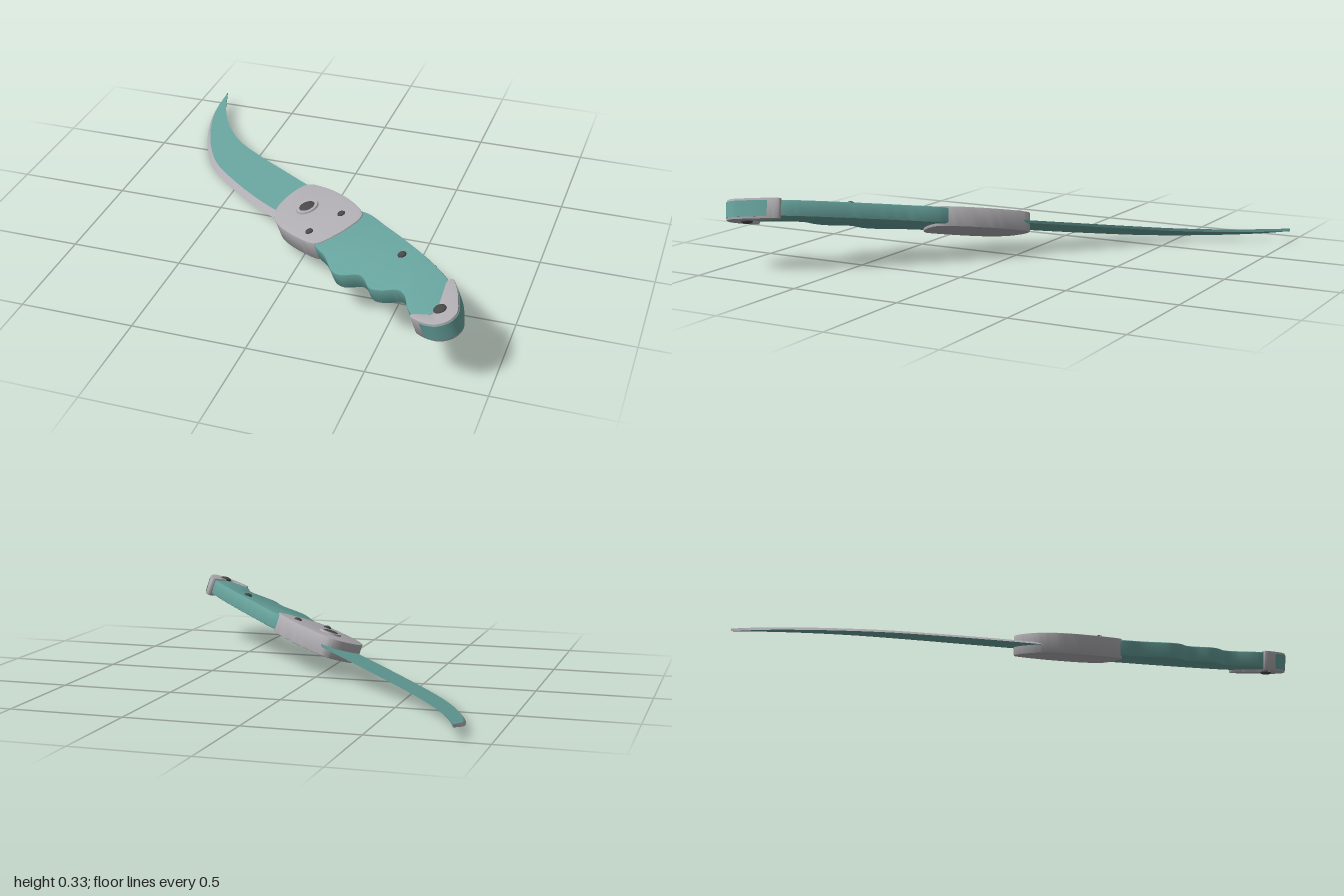
import * as THREE from 'three';
import { toCreasedNormals } from 'three/addons/utils/BufferGeometryUtils.js';

const teal = new THREE.MeshStandardMaterial({ color: 0x66a19b });
teal.name = 'teal';
const steel = new THREE.MeshStandardMaterial({ color: 0xaeacb0 });
steel.name = 'steel grey';
const dark = new THREE.MeshStandardMaterial({ color: 0x484848 });
dark.name = 'dark screw';

// The knife lies flat on a tilted plane: y = C + A x + B z
const A = 0.3, B = -0.158, C = 0.204;
const n = new THREE.Vector3(-A, 1, -B).normalize();
const tilt = new THREE.Matrix4().set(
  1, n.x, 0, 0,
  A, n.y, B, C,
  0, n.z, 1, 0,
  0, 0, 0, 1);

// Smooth curve through [x, z] points
function smooth(points, count, closed) {
  const curve = new THREE.CatmullRomCurve3(
    points.map(([x, z]) => new THREE.Vector3(x, 0, z)), closed, 'centripetal');
  const out = curve.getPoints(count);
  if (closed) out.pop();
  return out;
}

// Slab between two heights, with a small bevel inside the outline
function slab(outline, low, high, bevel) {
  const shape = new THREE.Shape(outline.map(p => new THREE.Vector2(p.x, -p.z)));
  const geo = new THREE.ExtrudeGeometry(shape, {
    depth: high - low - 2 * bevel, bevelEnabled: bevel > 0, bevelThickness: bevel,
    bevelSize: bevel, bevelOffset: -bevel, bevelSegments: 2 });
  geo.rotateX(-Math.PI / 2).translate(0, low + bevel, 0);
  return toCreasedNormals(geo, 0.6);
}

// Ribbon between two rows of points
function ribbon(rowA, rowB) {
  const pos = [], index = [];
  rowA.forEach((p, i) => {
    pos.push(...p.toArray(), ...rowB[i].toArray());
    if (i) {
      const k = 2 * i - 2;
      index.push(k, k + 1, k + 2, k + 1, k + 3, k + 2);
    }
  });
  const geo = new THREE.BufferGeometry();
  geo.setAttribute('position', new THREE.Float32BufferAttribute(pos, 3));
  geo.setIndex(index);
  geo.computeVertexNormals();
  return geo;
}

export function createModel() {
  const knife = new THREE.Group();
  knife.name = 'foldingKnife';
  const add = (name, geo, material) => {
    const mesh = new THREE.Mesh(geo.applyMatrix4(tilt), material);
    mesh.name = name;
    knife.add(mesh);
  };

  // Curved blade, ground to an edge along its outer side
  const mid = -0.047, half = 0.006;
  const spine = smooth([[-0.01, -0.005], [-0.24, -0.2], [-0.44, -0.37], [-0.6, -0.52],
    [-0.72, -0.68], [-0.8, -0.84], [-0.853, -1]], 40, false);
  const edge = smooth([[-0.12, 0.18], [-0.3, 0.04], [-0.5, -0.145], [-0.68, -0.345],
    [-0.8, -0.58], [-0.862, -0.82], [-0.853, -1]], 40, false);
  const at = (row, h) => row.map(p => new THREE.Vector3(p.x - n.x * h, h, p.z - n.z * h));
  const spineTop = at(spine, mid + half), spineLow = at(spine, mid - half);
  const edgeLow = at(edge, mid - half);
  const grind = at(edge.map((p, i) => p.clone().lerp(spine[i], 0.13)), mid + half);
  add('bladeFace', ribbon(grind, spineTop), teal);
  add('bladeSpine', ribbon(spineTop, spineLow), teal);
  add('bladeUnderside', ribbon(spineLow, edgeLow), teal);
  add('cuttingEdge', ribbon(edgeLow, grind), steel);

  // Bolster around the pivot
  const bolster = smooth([[-0.075, -0.025], [-0.025, -0.008], [0.1, 0.07], [0.225, 0.19],
    [0.258, 0.255], [0.225, 0.32], [0.15, 0.395], [0.1, 0.418], [0.03, 0.385], [-0.14, 0.24],
    [-0.176, 0.14], [-0.15, 0.045], [-0.11, -0.01]], 78, true);
  add('bolster', slab(bolster, -0.09, 0, 0.005), steel);

  // Handle with finger grooves
  const handle = smooth([[0.13, 0.2], [0.25, 0.215], [0.4, 0.345], [0.55, 0.49], [0.69, 0.64],
    [0.765, 0.745], [0.79, 0.85], [0.77, 0.91], [0.668, 0.922], [0.632, 0.88], [0.597, 0.8],
    [0.56, 0.764], [0.485, 0.758], [0.435, 0.738], [0.39, 0.673], [0.36, 0.647], [0.285, 0.641],
    [0.24, 0.615], [0.165, 0.5], [0.095, 0.42], [0.04, 0.3]], 140, true);
  add('handle', slab(handle, -0.077, -0.006, 0.006), teal);

  // Pommel cap hooked round the handle end
  const pommel = smooth([[0.758, 0.735], [0.775, 0.728], [0.807, 0.785], [0.834, 0.87],
    [0.845, 0.935], [0.823, 0.977], [0.775, 0.994], [0.71, 0.973], [0.657, 0.93], [0.665, 0.922],
    [0.745, 0.93], [0.757, 0.9], [0.756, 0.8]], 104, true);
  add('pommel', slab(pommel, -0.09, 0, 0.004), steel);

  // Thin inlay on the outer wall of the pommel
  const wall = pommel.filter(p => p.x - 0.757 > 0.9 * (0.775 - p.z) / 1.5 - 0.0 || p.z > 0.94)
    .filter(p => p.z > 0.775 && p.x > 0.695 && (p.x > 0.79 || p.z > 0.955));
  const centre = new THREE.Vector3(0.75, 0, 0.87);
  const grow = k => wall.map(p => p.clone().sub(centre).multiplyScalar(k).add(centre));
  add('pommelInlay', slab([...grow(1.02), ...grow(0.98).reverse()], -0.08, -0.01, 0), teal);

  // Screws: [name, x, z, radius, height of the surface]
  for (const [name, x, z, r, h] of [
    ['upperBolsterScrew', 0.157, 0.226, 0.017, 0],
    ['lowerBolsterScrew', 0.046, 0.331, 0.017, 0],
    ['handleScrew', 0.517, 0.543, 0.018, -0.004],
    ['pommelScrew', 0.771, 0.906, 0.026, 0],
    ['pommelScrewUnderside', 0.771, 0.906, 0.026, -0.09],
    ['pivotScrew', -0.023, 0.153, 0.037, 0.004]]) {
    const geo = new THREE.SphereGeometry(r, 20, 10).scale(1, 0.011 / r, 1).translate(x, h, z);
    add(name, geo, dark);
  }

  // Raised collar round the pivot screw
  const collar = new THREE.CylinderGeometry(0.047, 0.051, 0.012, 32).translate(-0.023, 0.002, 0.153);
  add('pivotCollar', collar, steel);
  return knife;
}
